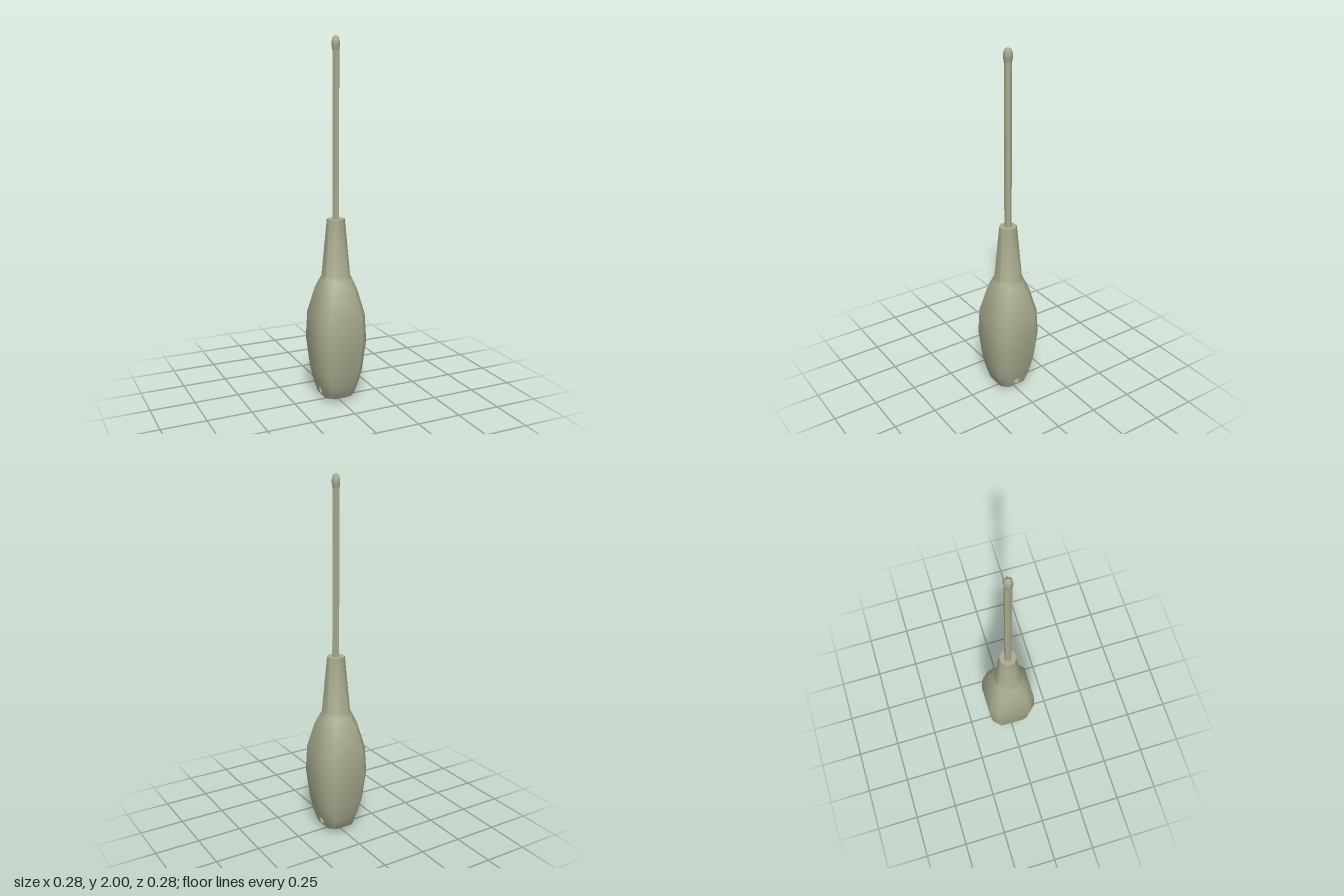
import * as THREE from 'three';
import { toCreasedNormals } from 'three/addons/utils/BufferGeometryUtils.js';

const material = new THREE.MeshStandardMaterial({ color: 0xa6aa8c });

// Handle sections: height, half width, share of each side that is flat.
const ROWS = [
  [0, 0, 0.6], [0, 0.03, 0.6], [0.012, 0.06, 0.6], [0.028, 0.088, 0.6],
  [0.1, 0.108, 0.65], [0.18, 0.123, 0.69], [0.35, 0.14, 0.71], [0.5, 0.133, 0.7],
  [0.64, 0.1, 0.63], [0.69, 0.083, 0.52], [0.715, 0.073, 0.42],
  [1.03, 0.045, 0.42], [1.03, 0, 0.42],
];
const HOLE_ROW = 3; // the hole lies between this section and the next
const HOLE = { y: 0.057, r: 0.021, n: 16 };

// Square with cut corners, starting on the +x side
function ring([y, h, flat]) {
  const c = h * flat;
  return [[h, -c], [h, c], [c, h], [-c, h], [-h, c], [-h, -c], [-c, -h], [c, -h]]
    .map(([x, z]) => [x, y, z]);
}

function holePoint(i) {
  const a = (i / HOLE.n) * Math.PI * 2;
  return new THREE.Vector2(HOLE.r * Math.cos(a), HOLE.y + HOLE.r * Math.sin(a));
}

// Half width of the pierced side at height y
function sideX(y) {
  const [y0, h0] = ROWS[HOLE_ROW], [y1, h1] = ROWS[HOLE_ROW + 1];
  return h0 + ((h1 - h0) * (y - y0)) / (y1 - y0);
}

function handleGeometry() {
  const pos = [];
  const quad = (a, b, c, d) => pos.push(...a, ...b, ...c, ...a, ...c, ...d);

  // Skin between neighbouring sections, leaving out the two pierced panels
  const rings = ROWS.map(ring);
  for (let i = 0; i < rings.length - 1; i++) {
    for (let k = 0; k < 8; k++) {
      if (i === HOLE_ROW && k % 4 === 0) continue;
      const n = (k + 1) % 8;
      quad(rings[i][k], rings[i + 1][k], rings[i + 1][n], rings[i][n]);
    }
  }

  // Pierced panels on both sides
  const [lo, hi] = [ROWS[HOLE_ROW], ROWS[HOLE_ROW + 1]];
  const c0 = lo[1] * lo[2], c1 = hi[1] * hi[2];
  const panel = new THREE.Shape([[-c0, lo[0]], [c0, lo[0]], [c1, hi[0]], [-c1, hi[0]]]
    .map(([u, v]) => new THREE.Vector2(u, v)));
  const rim = Array.from({ length: HOLE.n }, (_, i) => holePoint(i));
  panel.holes.push(new THREE.Path(rim));
  const flat = new THREE.ShapeGeometry(panel).toNonIndexed().attributes.position;
  for (const s of [1, -1]) {
    for (let i = 0; i < flat.count; i++) {
      const y = flat.getY(i);
      pos.push(s * sideX(y), y, -s * flat.getX(i));
    }
  }

  // Lining of the hole
  for (let i = 0; i < HOLE.n; i++) {
    const p = holePoint(i), q = holePoint(i + 1);
    const px = sideX(p.y), qx = sideX(q.y);
    quad([-px, p.y, p.x], [-qx, q.y, q.x], [qx, q.y, q.x], [px, p.y, p.x]);
  }

  const geo = new THREE.BufferGeometry();
  geo.setAttribute('position', new THREE.Float32BufferAttribute(pos, 3));
  // Enlarged while creasing, so that close vertices stay distinct
  geo.scale(100, 100, 100);
  const creased = toCreasedNormals(geo, THREE.MathUtils.degToRad(50));
  return creased.scale(0.01, 0.01, 0.01);
}

export function createModel() {
  const model = new THREE.Group();
  model.name = 'handTool';
  const add = (name, geo, mat = material) => {
    const mesh = new THREE.Mesh(geo, mat);
    mesh.name = name;
    model.add(mesh);
  };

  add('handle', handleGeometry());

  // Six-sided shaft
  const shaftMaterial = material.clone();
  shaftMaterial.flatShading = true;
  const shaft = new THREE.CylinderGeometry(0.02, 0.02, 0.92, 6, 1, true);
  add('shaft', shaft.rotateY(Math.PI / 2).translate(0, 1.48, 0), shaftMaterial);

  // Rounded, slightly swollen tip
  const profile = [[0.02, 1.925], [0.0245, 1.95], [0.0245, 1.97], [0.016, 1.992], [0, 2]]
    .map(([r, y]) => new THREE.Vector2(r, y));
  const tip = new THREE.LatheGeometry(profile, 6);
  add('tip', tip.rotateY(Math.PI / 2));

  return model;
}
